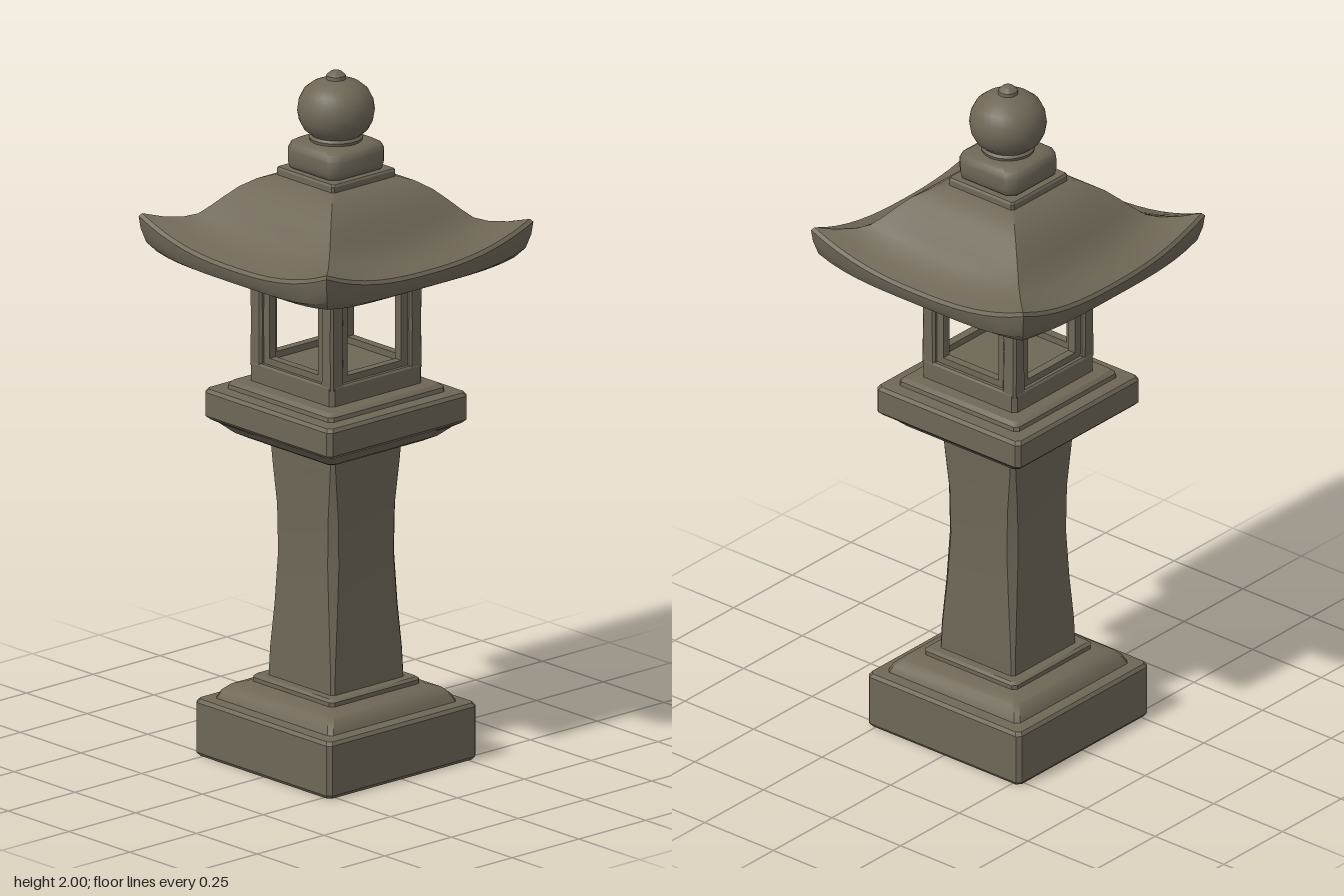
import * as THREE from 'three';
import { toCreasedNormals } from 'three/addons/utils/BufferGeometryUtils.js';

const stone = new THREE.MeshStandardMaterial({ color: 0x6e6757 });
stone.name = 'weathered stone';

// Four-sided ring, counter-clockwise from above; ts are positions along each side (-1..1)
function ring(half, ts, height) {
  const points = [];
  for (let side = 0; side < 4; side++) {
    for (const t of ts) {
      let x = half, z = -half * t;
      for (let k = 0; k < side; k++) [x, z] = [z, -x];
      points.push([x, height(t), z]);
    }
  }
  return points;
}

// Skin rings from bottom to top and cap both ends
function loft(rings, crease) {
  const n = rings[0].length, last = rings.length - 1;
  const middle = r => [0, r.reduce((s, p) => s + p[1], 0) / n, 0];
  const positions = [...rings.flat(), middle(rings[0]), middle(rings[last])].flat();
  const bottom = n * rings.length, top = bottom + 1;
  const index = [];
  for (let j = 0; j < n; j++) {
    const k = (j + 1) % n;
    for (let i = 0; i < last; i++) {
      const a = i * n + j, b = i * n + k;
      index.push(a, b, b + n, a, b + n, a + n);
    }
    index.push(bottom, k, j, top, last * n + j, last * n + k);
  }
  const g = new THREE.BufferGeometry();
  g.setAttribute('position', new THREE.Float32BufferAttribute(positions, 3));
  g.setIndex(index);
  return toCreasedNormals(g, crease);
}

// Square block from rows of [half width, y, corner chamfer]
function squareBlock(rows, crease = 0.5) {
  return loft(rows.map(([h, y, c = 0.012]) => ring(h, [-1 + c / h, 1 - c / h], () => y)), crease);
}

function roofGeometry() {
  const ts = Array.from({ length: 17 }, (_, i) => -1 + i / 8).slice(0, 16);
  // [half width, y at mid side, corner lift, lift power]
  const rows = [
    [0.15, 1.445, 0, 2], [0.3, 1.445, 0.004, 4], [0.35, 1.446, 0.016, 5], [0.372, 1.456, 0.034, 4],
    [0.383, 1.475, 0.055, 3], [0.387, 1.498, 0.068, 2.5], [0.38, 1.508, 0.066, 2.5],
    [0.34, 1.52, 0.046, 2.5], [0.3, 1.538, 0.028, 2.5], [0.27, 1.562, 0.014, 2.5], [0.245, 1.595, 0.005, 2.5],
    [0.22, 1.627, 0, 2], [0.19, 1.657, 0, 2], [0.155, 1.681, 0, 2], [0.11, 1.697, 0, 2],
  ];
  return loft(rows.map(([h, y, lift, p]) => ring(h, ts, t => y + lift * Math.abs(t) ** p)), 0.55);
}

// Thin square frame around each opening of the lamp chamber
function frameGeometry() {
  const rect = (Type, w, y0, y1) => new Type([[-w, y0], [w, y0], [w, y1], [-w, y1]].map(p => new THREE.Vector2(...p)));
  const shape = rect(THREE.Shape, 0.135, 1.14, 1.405);
  shape.holes.push(rect(THREE.Path, 0.1, 1.17, 1.368));
  return new THREE.ExtrudeGeometry(shape, { depth: 0.025, bevelEnabled: false });
}

export function createModel() {
  const model = new THREE.Group();
  model.name = 'stoneLantern';
  const add = (name, geometry, parent = model) => {
    const mesh = new THREE.Mesh(geometry, stone);
    mesh.name = name;
    parent.add(mesh);
    return mesh;
  };

  // Foot and its stepped shoulder
  add('base', squareBlock([[0.272, 0], [0.279, 0.01], [0.279, 0.155], [0.272, 0.165], [0.24, 0.168],
    [0.231, 0.188], [0.212, 0.206], [0.18, 0.216], [0.168, 0.219], [0.168, 0.231], [0.16, 0.238], [0.13, 0.238]]));

  // Waisted column
  add('column', squareBlock([[0.136, 0.23, 0.008], [0.134, 0.32, 0.01], [0.128, 0.45, 0.016], [0.124, 0.6, 0.022],
    [0.125, 0.74, 0.02], [0.13, 0.86, 0.012], [0.133, 0.94, 0.008]]));

  // Platform under the lamp chamber
  add('platform', squareBlock([[0.14, 0.923], [0.175, 0.926], [0.205, 0.942], [0.235, 0.97], [0.252, 0.98],
    [0.262, 0.99], [0.262, 1.058], [0.255, 1.068], [0.218, 1.07], [0.216, 1.082], [0.205, 1.092], [0.15, 1.096]]));

  // Open lamp chamber: rails, posts and window frames
  const chamber = new THREE.Group();
  chamber.name = 'lampChamber';
  model.add(chamber);
  add('bottomRail', squareBlock([[0.172, 1.085], [0.172, 1.145], [0.168, 1.151]]), chamber);
  add('topRail', squareBlock([[0.168, 1.389], [0.172, 1.394], [0.174, 1.45]]), chamber);
  for (const x of [-1, 1]) for (const z of [-1, 1]) {
    const post = add('cornerPost', squareBlock([[0.024, 1.14, 0.006], [0.023, 1.27, 0.007], [0.024, 1.4, 0.006]]), chamber);
    post.position.set(x * 0.147, 0, z * 0.147);
  }
  for (let i = 0; i < 4; i++) {
    const holder = new THREE.Group();
    holder.name = 'windowSide';
    holder.rotation.y = i * Math.PI / 2;
    chamber.add(holder);
    add('windowFrame', frameGeometry(), holder).position.z = 0.133;
  }

  // Roof with upswept corners
  add('roof', roofGeometry());

  // Finial: slab, cushion and ball
  add('finialSlab', squareBlock([[0.119, 1.688, 0.006], [0.119, 1.71, 0.006], [0.115, 1.716, 0.006]]));
  add('finialCushion', squareBlock([[0.09, 1.712, 0.02], [0.102, 1.722, 0.022], [0.106, 1.74, 0.024],
    [0.106, 1.772, 0.024], [0.1, 1.788, 0.026], [0.085, 1.798, 0.03], [0.06, 1.8, 0.03]], 0.9));
  const profile = [[0, 1.795], [0.072, 1.795], [0.076, 1.808], [0.07, 1.815], [0.09, 1.832], [0.103, 1.857],
    [0.108, 1.885], [0.104, 1.914], [0.09, 1.942], [0.068, 1.96], [0.042, 1.971], [0.028, 1.975],
    [0.027, 1.985], [0.015, 1.996], [0, 2]].map(p => new THREE.Vector2(...p));
  add('finialBall', toCreasedNormals(new THREE.LatheGeometry(profile, 28), 0.6));

  return model;
}
